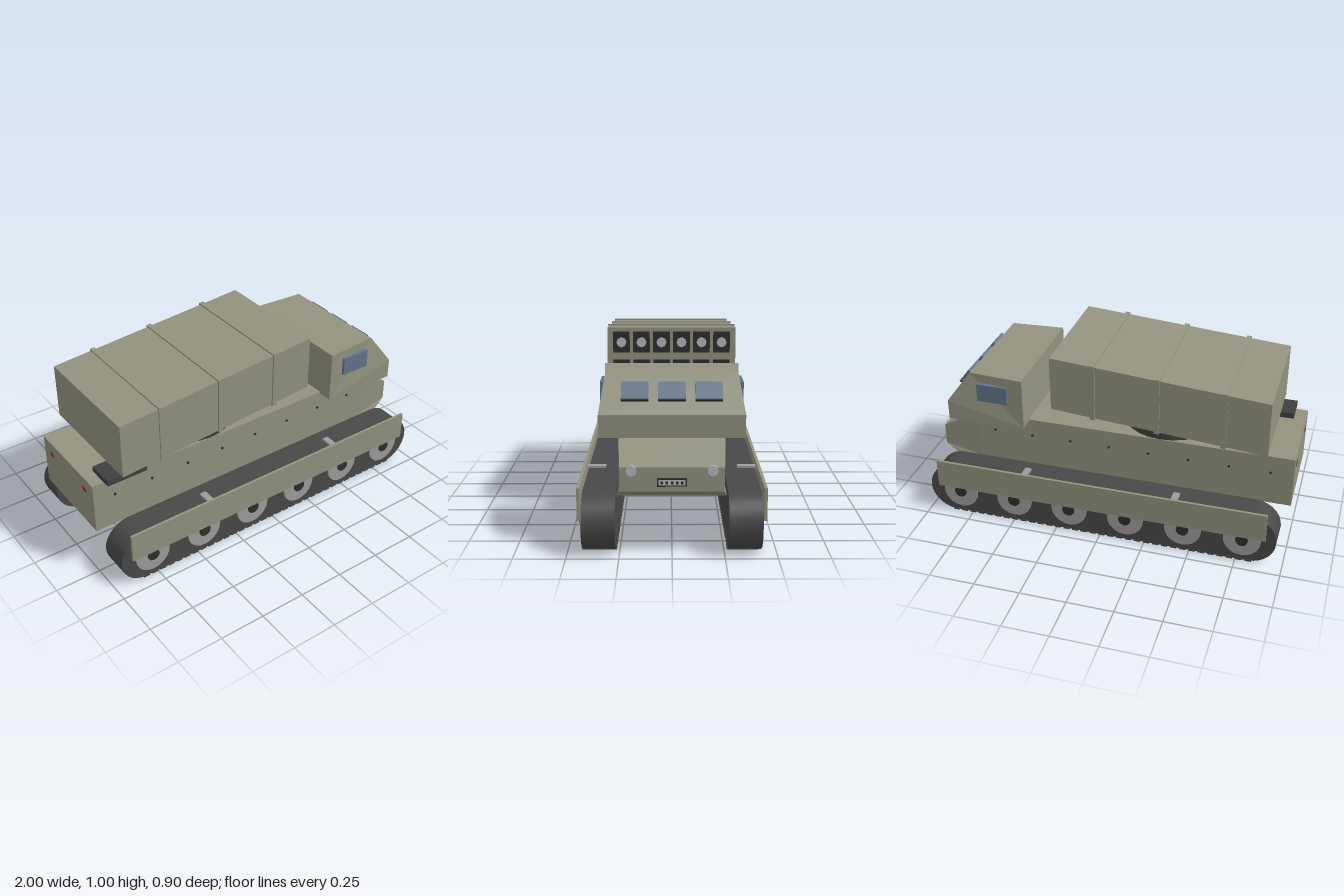
import * as THREE from 'three';
import { toCreasedNormals } from 'three/addons/utils/BufferGeometryUtils.js';

const mat = (color) => new THREE.MeshStandardMaterial({ color });

export function createModel() {
  const model = new THREE.Group();
  const paint = mat(0x92927e), track = mat(0x484848), dark = mat(0x2e2e2e), steel = mat(0x9c9c9c),
    lamp = mat(0xb8b8b8), glass = mat(0x60748a), red = mat(0x9a2828), deck = mat(0x3f3f3f);

  const add = (name, geo, material, x = 0, y = 0, z = 0, parent = model) => {
    const mesh = new THREE.Mesh(geo, material);
    mesh.name = name;
    mesh.position.set(x, y, z);
    parent.add(mesh);
    return mesh;
  };
  // Box given by its limits on each axis
  const box = (name, material, x0, x1, y0, y1, z0, z1, parent) =>
    add(name, new THREE.BoxGeometry(x1 - x0, y1 - y0, Math.abs(z1 - z0)), material,
      (x0 + x1) / 2, (y0 + y1) / 2, (z0 + z1) / 2, parent);
  // Side profile widened to the half width given at each point
  const prism = (name, material, points, halfWidth) => {
    const shape = new THREE.Shape(points.map(([x, y]) => new THREE.Vector2(x, y)));
    const geo = new THREE.ExtrudeGeometry(shape, { depth: 2, bevelEnabled: false }).translate(0, 0, -1);
    const p = geo.attributes.position;
    for (let i = 0; i < p.count; i++) p.setZ(i, p.getZ(i) * halfWidth(p.getX(i), p.getY(i)));
    geo.computeVertexNormals();
    return add(name, geo, material);
  };
  // Disc facing x or z
  const disc = (name, material, r, depth, sides, axis, x, y, z, parent) => {
    const geo = new THREE.CylinderGeometry(r, r, depth, sides);
    if (axis === 'x') geo.rotateZ(-Math.PI / 2);
    else geo.rotateX(Math.PI / 2);
    return add(name, geo, material, x, y, z, parent);
  };

  // Hull and tapered nose
  box('hull', paint, -1, 0.74, 0.28, 0.565, -0.26, 0.26);
  prism('hullNose', paint, [[0.74, 0.28], [0.9, 0.28], [0.967, 0.32], [0.967, 0.435], [0.74, 0.565]],
    (x) => (x > 0.95 ? 0.245 : 0.26));

  // Grille
  box('grilleFrame', dark, 0.96, 0.974, 0.345, 0.385, -0.07, 0.07);
  box('grillePanel', lamp, 0.96, 0.977, 0.352, 0.378, -0.062, 0.062);
  for (let i = -2; i <= 2; i++)
    box('grilleSlot', dark, 0.96, 0.98, 0.358, 0.372, i * 0.024 - 0.006, i * 0.024 + 0.006);

  // Cab with sloping windscreen
  prism('cab', paint, [[0.45, 0.555], [0.88, 0.555], [0.88, 0.665], [0.75, 0.84], [0.45, 0.84]],
    (x) => (x > 0.8 ? 0.347 : x > 0.7 ? 0.318 : 0.338));
  const slope = Math.atan2(0.13, 0.175);
  for (const z of [-0.175, 0, 0.175]) {
    const pane = add('windscreenPane', new THREE.BoxGeometry(0.024, 0.09, 0.13), glass, 0.812, 0.766, z);
    pane.rotation.z = slope;
    const sill = add('windscreenSill', new THREE.BoxGeometry(0.026, 0.006, 0.13), dark, 0.841, 0.728, z);
    sill.rotation.z = slope;
  }

  // Turntable and rear deck fittings
  add('turntable', new THREE.CylinderGeometry(0.258, 0.258, 0.06, 24), deck, -0.288, 0.595, 0);
  box('rearHatch', deck, -0.935, -0.71, 0.565, 0.595, 0.15, 0.3);

  // Launcher, drawn level and then sheared upward to the front
  const lift = (x) => 0.61 + (x + 0.865) * 0.078;
  const slantedBox = (name, x0, x1, grow) => prism(name, paint,
    [[x0, lift(x0) - grow], [x1, lift(x1) - grow], [x1, lift(x1) + 0.3 + grow], [x0, lift(x0) + 0.3 + grow]],
    () => 0.333 + grow);
  slantedBox('launcherPod', -0.865, 0.29, 0);
  for (const x of [-0.635, -0.285, 0.06]) slantedBox('launcherBand', x - 0.013, x + 0.013, 0.008);
  for (const y of [0.778, 0.925])
    for (let i = 0; i < 6; i++) {
      const z = (i - 2.5) * 0.104;
      box('tubeMouth', dark, 0.28, 0.299, y - 0.055, y + 0.055, z - 0.043, z + 0.043);
      disc('rocketTip', lamp, 0.026, 0.02, 8, 'x', 0.298, y, z);
    }

  // Track outline
  const r = 0.143, outline = new THREE.Shape();
  outline.absarc(0.85, 0.148, r, -Math.PI / 2, Math.PI / 2, false);
  outline.absarc(-0.817, 0.148, r, Math.PI / 2, Math.PI * 1.5, false);
  const trackGeo = toCreasedNormals(
    new THREE.ExtrudeGeometry(outline, { depth: 0.16, bevelEnabled: false, curveSegments: 7 }), 0.7);

  for (const s of [1, -1]) {
    const side = new THREE.Group();
    side.name = s > 0 ? 'leftRunningGear' : 'rightRunningGear';
    model.add(side);

    // Track with ground pads
    add('track', trackGeo, track, 0, 0, s > 0 ? 0.268 : -0.428, side);
    for (let i = 0; i < 34; i++) {
      const x = -0.82 + i * 0.0507;
      box('trackPad', track, x - 0.017, x + 0.017, 0, 0.012, s * 0.265, s * 0.43, side);
    }
    // Road wheels
    for (let i = 0; i < 6; i++) {
      const x = -0.78 + i * 0.318;
      disc('roadWheel', steel, 0.1, 0.03, 20, 'z', x, 0.14, s * 0.422, side);
      disc('wheelHub', dark, 0.034, 0.03, 12, 'z', x, 0.14, s * 0.43, side);
    }
    // Side skirt and its brackets
    box('sideSkirt', paint, -0.905, 0.935, 0.165, 0.325, s * 0.435, s * 0.45, side);
    for (const x of [-0.405, 0.435])
      box('skirtBracket', steel, x - 0.018, x + 0.018, 0.285, 0.302, s * 0.34, s * 0.436, side);

    // Side window, rivets, lamps and pod support
    box('sideWindow', glass, 0.535, 0.705, 0.69, 0.79, s * 0.32, s * 0.347);
    for (let i = 0; i < 8; i++)
      disc('hullRivet', dark, 0.007, 0.012, 8, 'z', -0.88 + i * 0.2187, 0.468, s * 0.26);
    disc('headlight', lamp, 0.025, 0.016, 16, 'x', 0.967, 0.42, s * 0.19);
    box('tailLight', red, -1.003, -0.99, 0.485, 0.508, s * 0.155, s * 0.19);
    add('podSupport', new THREE.CylinderGeometry(0.022, 0.022, 0.075, 12), paint, -0.59, 0.6, s * 0.2);
  }
  return model;
}
